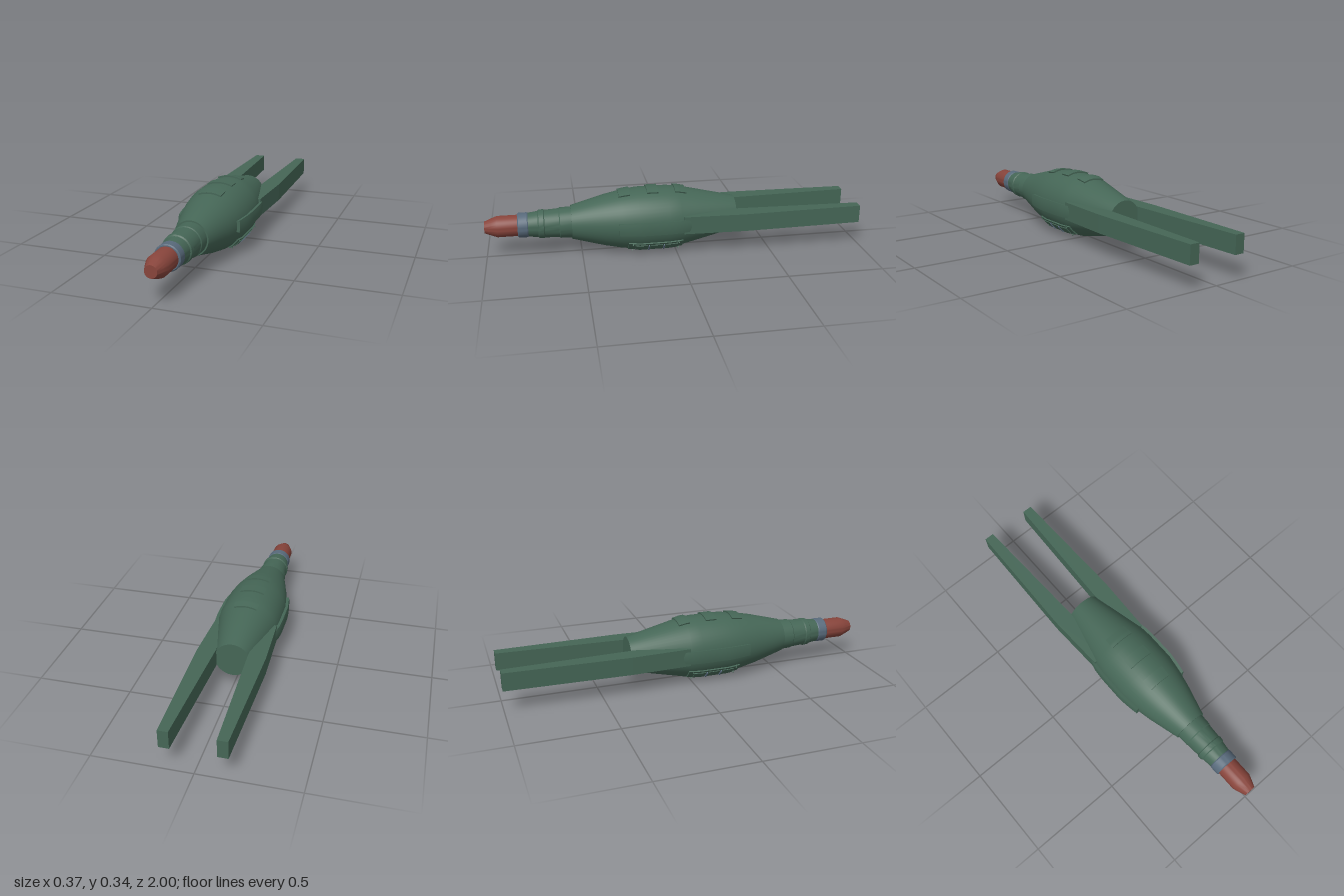
import * as THREE from 'three';
import { toCreasedNormals } from 'three/addons/utils/BufferGeometryUtils.js';

const AXIS_Y = 0.17;

// Hull outline as [z, radius], back to front
const HULL = [[-0.33, 0.0925], [-0.02, 0.163], [0.04, 0.168], [0.2, 0.168], [0.29, 0.155],
  [0.38, 0.136], [0.55, 0.09]];

function hullRadius(z) {
  for (let i = 1; i < HULL.length; i++) {
    const [z0, r0] = HULL[i - 1], [z1, r1] = HULL[i];
    if (z <= z1) return r0 + (r1 - r0) * (z - z0) / (z1 - z0);
  }
  return HULL[HULL.length - 1][1];
}

export function createModel() {
  const model = new THREE.Group();
  model.name = 'pod';
  const body = new THREE.Group();
  body.name = 'body';
  body.position.y = AXIS_Y;
  model.add(body);

  const mat = (name, color) => {
    const m = new THREE.MeshStandardMaterial({ color });
    m.name = name;
    return m;
  };
  const green = mat('green', 0x456656);
  const red = mat('red', 0x87443b);
  const steel = mat('steel', 0x586a7b);

  const add = (name, geometry, material) => {
    const mesh = new THREE.Mesh(geometry, material);
    mesh.name = name;
    body.add(mesh);
    return mesh;
  };

  // Turned part along z, closed at both ends
  const turned = (name, outline, material, crease = 0.3) => {
    const pts = [[outline[0][0], 0], ...outline, [outline[outline.length - 1][0], 0]]
      .map(([z, r]) => new THREE.Vector2(r, z));
    const g = new THREE.LatheGeometry(pts, 48).rotateX(Math.PI / 2);
    return add(name, toCreasedNormals(g, crease), material);
  };

  // Plate wrapped on the hull: angle and half-width in degrees, heights over the hull
  const plate = (name, angle, half, z0, z1, low, high, material) => {
    const g = new THREE.BoxGeometry(1, 1, 1, 8, 1, 10);
    const p = g.attributes.position;
    for (let i = 0; i < p.count; i++) {
      const a = THREE.MathUtils.degToRad(angle - p.getX(i) * 2 * half);
      const z = z0 + (p.getZ(i) + 0.5) * (z1 - z0);
      const r = hullRadius(z) + (p.getY(i) > 0 ? high : low);
      p.setXYZ(i, Math.cos(a) * r, Math.sin(a) * r, z);
    }
    g.computeVertexNormals();
    return add(name, g, material);
  };

  turned('hull', HULL, green, 0.4);

  // Stepped neck, collar and nose
  turned('neck', [[0.54, 0.083], [0.61, 0.081], [0.615, 0.077], [0.69, 0.073], [0.695, 0.077],
    [0.72, 0.075], [0.725, 0.069], [0.785, 0.062]], green);
  turned('collar', [[0.775, 0.063], [0.78, 0.066], [0.825, 0.066], [0.83, 0.061]], steel);
  turned('nose', [[0.82, 0.056], [0.935, 0.056], [0.965, 0.045], [1, 0.031]], red, 0.5);

  // Dorsal plates
  for (const z of [-0.06, 0.09, 0.24])
    plate('dorsalPlate', 90, 22.5, z, z + 0.06, -0.01, 0.008, green);

  for (const side of [1, -1]) {
    // Long tapering rear arm
    const shape = new THREE.Shape([[0.11, -1], [0.162, -1], [0.178, -0.35], [0.166, -0.03],
      [0.1, -0.03], [0.084, -0.33]].map(([x, z]) => new THREE.Vector2(side * x, -z)));
    const arm = new THREE.ExtrudeGeometry(shape, { depth: 0.095, bevelEnabled: false });
    arm.rotateX(-Math.PI / 2).translate(0, -0.0455, 0);
    add('rearArm', arm, green);

    // Side fairing over the arm root
    plate('sideFairing', side > 0 ? 0 : 180, 11, -0.1, 0.31, -0.01, 0.016, green);

    // Lower access panel with raised covers, steel cross bars and pins
    const low = side > 0 ? -45 : -135;
    plate('lowerPanel', low, 12, -0.03, 0.26, -0.01, 0.007, green);
    for (const z of [0, 0.08, 0.16])
      plate('panelCover', low, 8, z, z + 0.065, 0, 0.011, green);
    for (const z of [0.069, 0.149])
      plate('panelBar', low, 8, z, z + 0.006, 0.005, 0.015, steel);
    for (const z of [-0.01, 0.235])
      for (const offset of [-10, 10])
        plate('panelPin', low + offset, 0.8, z, z + 0.006, 0, 0.016, green);
  }
  return model;
}
